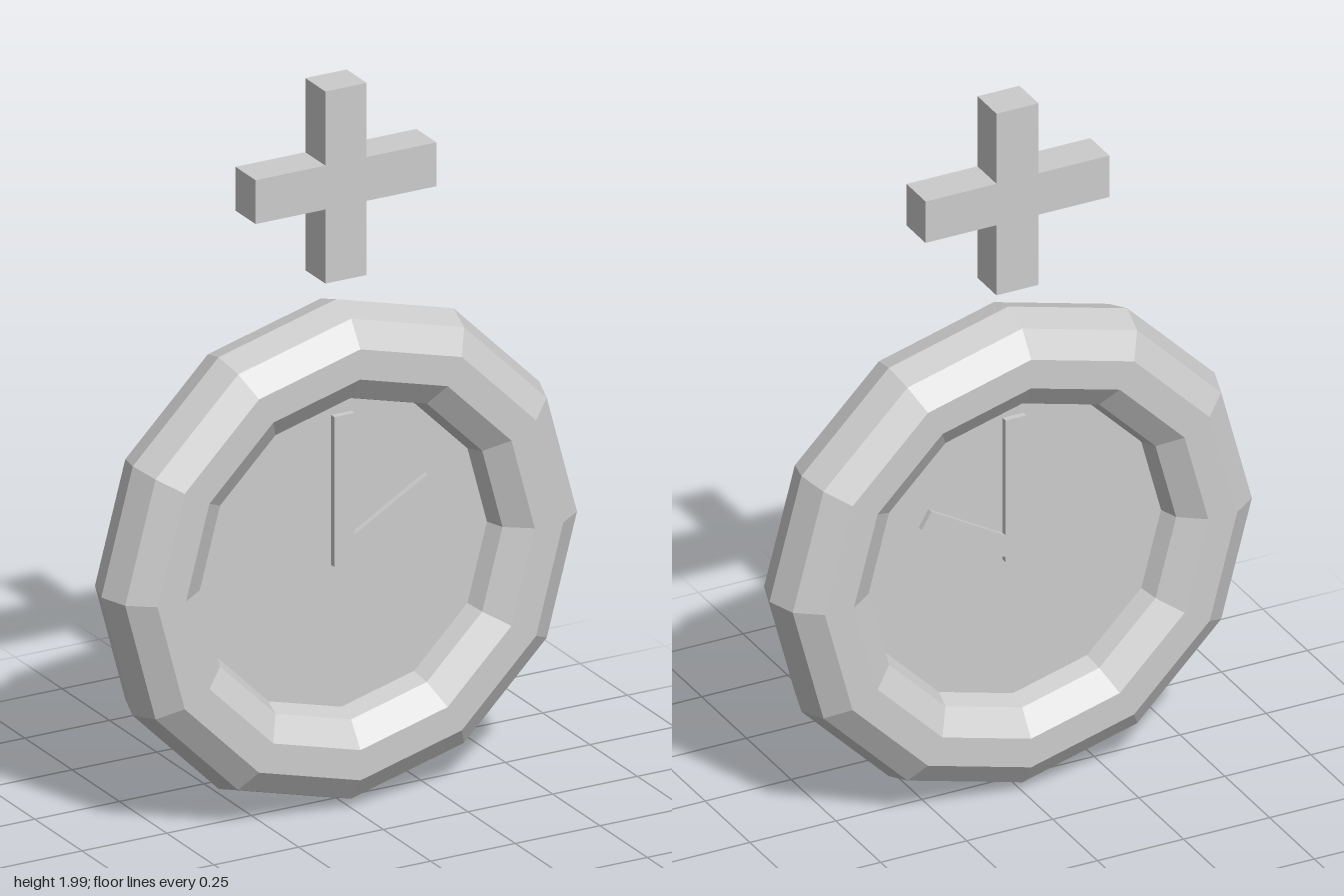
import * as THREE from 'three';

const material = new THREE.MeshStandardMaterial({ color: 0xcccccc, flatShading: true });
const CENTER_Y = 0.699;

function add(parent, name, geometry, x = 0, y = 0, z = 0) {
  const mesh = new THREE.Mesh(geometry, material);
  mesh.name = name;
  mesh.position.set(x, y, z);
  parent.add(mesh);
  return mesh;
}

// Clock hand pivoting at the dial centre, running through to both faces
function addHand(parent, name, start, end, width, angle) {
  const geometry = new THREE.BoxGeometry(end - start, width, 0.09);
  geometry.translate((start + end) / 2, 0, 0);
  add(parent, name, geometry).rotation.z = angle;
}

// Plus-shaped outline with equal arms
function plusShape(reach, half) {
  const shape = new THREE.Shape();
  for (let i = 0; i < 4; i++) {
    const a = (i * Math.PI) / 2, c = Math.cos(a), s = Math.sin(a);
    for (const [x, y] of [[reach, -half], [reach, half], [half, half]]) {
      const px = x * c - y * s, py = x * s + y * c;
      if (i === 0 && y < 0) shape.moveTo(px, py);
      else shape.lineTo(px, py);
    }
  }
  shape.closePath();
  return shape;
}

export function createModel() {
  const model = new THREE.Group();
  model.name = 'clockPickup';

  const clock = new THREE.Group();
  clock.name = 'clock';
  clock.position.y = CENTER_Y;
  model.add(clock);

  // Twelve-sided rim
  add(clock, 'rim', new THREE.TorusGeometry(0.557, 0.136, 10, 12));

  // Dial, its edge buried in the rim
  const dial = new THREE.CylinderGeometry(0.445, 0.445, 0.056, 12);
  dial.rotateX(Math.PI / 2);
  add(clock, 'dial', dial);

  // Hands, readable from both sides
  addHand(clock, 'minuteHand', -0.03, 0.387, 0.06, Math.PI / 2);
  addHand(clock, 'hourHand', 0, 0.3, 0.055, Math.PI / 6);

  // Plus sign floating above
  const depth = 0.106;
  const plus = new THREE.ExtrudeGeometry(plusShape(0.267, 0.061), { depth, bevelEnabled: false });
  add(model, 'plusSign', plus, 0, 1.733, -depth / 2);

  return model;
}
